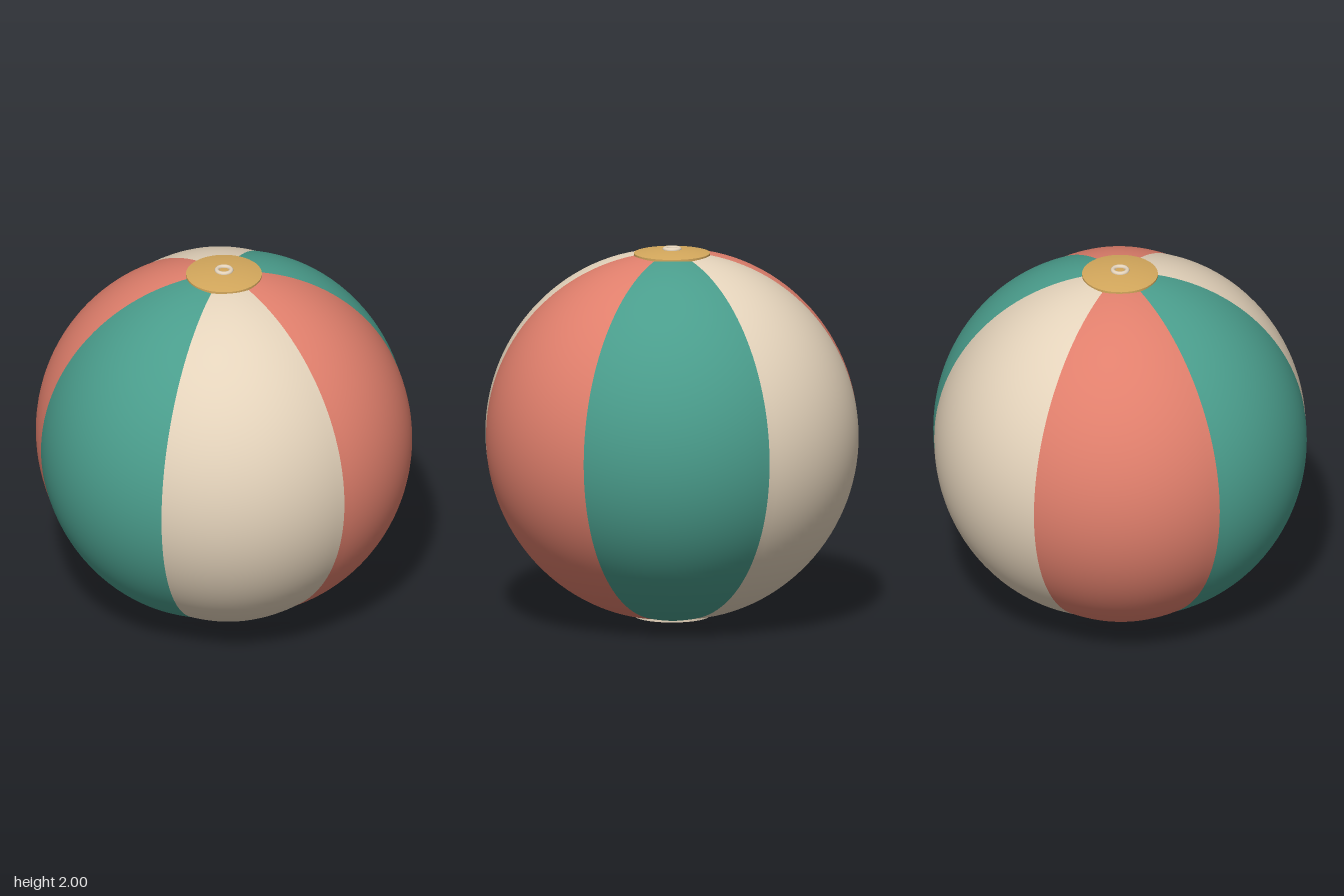
import * as THREE from 'three';

const SEAM_R = 0.98, CAP_R = 0.993, CENTER_Y = 0.993, PANELS = 6;

function material(name, color) {
  const m = new THREE.MeshStandardMaterial({ color });
  m.name = name;
  return m;
}

// One gore of the ball, puffed out slightly between its two seams
function panelGeometry() {
  const width = (Math.PI * 2) / PANELS;
  const geo = new THREE.SphereGeometry(SEAM_R, 20, 64, 0, width);
  const pos = geo.attributes.position, uv = geo.attributes.uv;
  const v = new THREE.Vector3();
  for (let i = 0; i < pos.count; i++) {
    v.fromBufferAttribute(pos, i);
    const ring = Math.hypot(v.x, v.z) / SEAM_R;
    const across = THREE.MathUtils.clamp(uv.getX(i), 0, 1);
    v.multiplyScalar(1 + 0.0204 * Math.sin(Math.PI * across) * ring);
    pos.setXYZ(i, v.x, v.y, v.z);
  }
  geo.computeVertexNormals();
  return geo;
}

export function createModel() {
  const coral = material('coral', 0xe07f6c);
  const teal = material('teal', 0x4a9d8c);
  const cream = material('cream', 0xe4d3bb);
  const gold = material('gold', 0xd4a85c);

  const model = new THREE.Group();
  model.name = 'beachBall';
  const add = (name, geo, mat, parent) => {
    const mesh = new THREE.Mesh(geo, mat);
    mesh.name = name;
    parent.add(mesh);
    return mesh;
  };

  // Six panels, each colour twice on opposite sides
  const panels = new THREE.Group();
  panels.name = 'panels';
  panels.position.y = CENTER_Y;
  model.add(panels);
  const panelGeo = panelGeometry();
  for (let i = 0; i < PANELS; i++) {
    const panel = add('panel' + (i + 1), panelGeo, [teal, cream, coral][i % 3], panels);
    panel.rotation.y = (i * Math.PI * 2) / PANELS;
  }

  // Domed end caps with a short rim tucked against the panels
  const capAngle = Math.asin(0.2 / CAP_R);
  const domeGeo = new THREE.SphereGeometry(CAP_R, 48, 8, 0, Math.PI * 2, 0, capAngle);
  const rimTop = CAP_R * Math.cos(capAngle);
  const rimGeo = new THREE.CylinderGeometry(0.2, 0.2, 0.02, 48, 1, true);
  rimGeo.translate(0, rimTop - 0.01, 0);
  for (const [name, mat, flip] of [['topCap', gold, 0], ['bottomCap', cream, Math.PI]]) {
    const cap = new THREE.Group();
    cap.name = name;
    cap.position.y = CENTER_Y;
    cap.rotation.x = flip;
    add(name + 'Dome', domeGeo, mat, cap);
    add(name + 'Rim', rimGeo, mat, cap);
    model.add(cap);
  }

  // Inflation valve ring
  const valve = add('valveRing', new THREE.TorusGeometry(0.038, 0.012, 12, 40), cream, model);
  valve.rotation.x = -Math.PI / 2;
  valve.position.y = CENTER_Y + CAP_R;

  return model;
}
